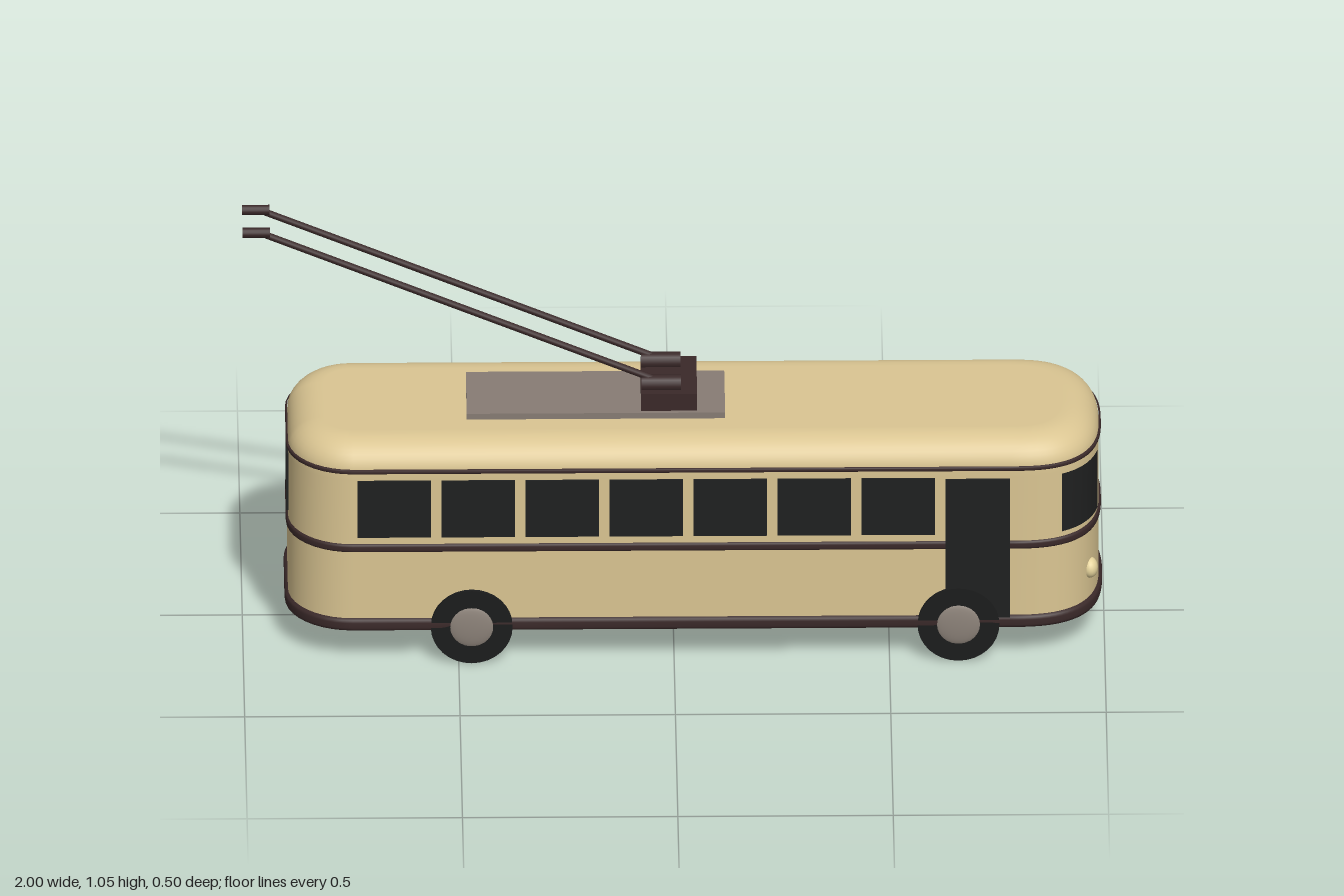
import * as THREE from 'three';

const mat = (name, color) => {
  const m = new THREE.MeshStandardMaterial({ color });
  m.name = name;
  return m;
};

// Plan of the body: blunt curved nose (+x), square rear with round corners (-x)
const HALF = 0.235, REAR = -0.895, REAR_R = 0.15, NOSE_X = 0.78, NOSE = 0.208, POW = 2.7;

function outline(inset) {
  const pts = [], a = NOSE - inset, b = HALF - inset, r = REAR_R - inset;
  for (let i = 0; i <= 40; i++) {
    const t = -Math.PI / 2 + (Math.PI * i) / 40;
    const c = Math.max(0, Math.cos(t)), s = Math.sin(t);
    pts.push([NOSE_X + a * c ** (2 / POW), Math.sign(s) * b * Math.abs(s) ** (2 / POW)]);
  }
  for (const side of [1, -1]) {
    for (let i = 0; i <= 10; i++) {
      const t = (side > 0 ? Math.PI / 2 : Math.PI) + (Math.PI / 2) * (i / 10);
      pts.push([REAR + REAR_R + r * Math.cos(t), side * (HALF - REAR_R) + r * Math.sin(t)]);
    }
  }
  return pts;
}

// Skin over rings given as [height, inset]
function loft(rings) {
  const pos = [], idx = [];
  let n = 0;
  for (const [y, inset] of rings) {
    const pts = outline(inset);
    n = pts.length;
    for (const [x, z] of pts) pos.push(x, y, z);
  }
  for (let i = 0; i < rings.length - 1; i++) {
    for (let j = 0; j < n; j++) {
      const a = i * n + j, b = i * n + ((j + 1) % n), c = a + n, d = b + n;
      idx.push(a, c, b, b, c, d);
    }
  }
  const g = new THREE.BufferGeometry();
  g.setAttribute('position', new THREE.Float32BufferAttribute(pos, 3));
  g.setIndex(idx);
  g.computeVertexNormals();
  return g;
}

// Flat lid with the body's plan, facing up or down
function lid(y, inset, up) {
  const shape = new THREE.Shape(outline(inset).map(([x, z]) => new THREE.Vector2(x, up ? -z : z)));
  const g = new THREE.ShapeGeometry(shape);
  return g.rotateX(up ? -Math.PI / 2 : Math.PI / 2).translate(0, y, 0);
}

// Window plate bent around the nose
function nosePanel(z0, z1, y0, y1) {
  const g = new THREE.PlaneGeometry(z1 - z0, y1 - y0, 12, 1);
  const p = g.attributes.position, out = 0.004;
  for (let i = 0; i < p.count; i++) {
    const z = (z0 + z1) / 2 - p.getX(i), y = (y0 + y1) / 2 + p.getY(i);
    const k = (Math.abs(z) / (HALF + out)) ** POW;
    p.setXYZ(i, NOSE_X + (NOSE + out) * (1 - k) ** (1 / POW), y, z);
  }
  g.computeVertexNormals();
  return g;
}

export function createModel() {
  const group = new THREE.Group();
  const cream = mat('cream paint', 0xdac592);
  const trim = mat('dark brown trim', 0x3a2929);
  const glass = mat('dark glass', 0x1f2020);
  const rubber = mat('tyre rubber', 0x1b1c1c);
  const metal = mat('hub metal', 0x8c8279);
  const plate = mat('roof plate grey', 0x877c74);
  const lamp = mat('lamp cream', 0xe6d49c);

  const add = (name, geo, material, x = 0, y = 0, z = 0) => {
    const m = new THREE.Mesh(geo, material);
    m.name = name;
    m.position.set(x, y, z);
    group.add(m);
    return m;
  };
  const box = (name, material, x0, x1, y0, y1, z0, z1) =>
    add(name, new THREE.BoxGeometry(x1 - x0, y1 - y0, z1 - z0), material,
      (x0 + x1) / 2, (y0 + y1) / 2, (z0 + z1) / 2);

  // Body walls running into the rounded roof edge
  const rings = [[0.09, 0], [0.48, 0]];
  for (let i = 0; i <= 10; i++) {
    const t = (Math.PI / 2) * (i / 10);
    rings.push([0.497 + 0.07 * Math.sin(t), 0.08 * (1 - Math.cos(t))]);
  }
  rings.push([0.567, 0.085]);
  add('body', loft(rings), cream);
  add('roofTop', lid(0.567, 0.085, true), cream);
  add('floor', lid(0.084, 0, false), trim);

  // Trim bands around the body
  for (const [name, y0, y1, out] of [
    ['skirtBand', 0.084, 0.116, 0.008], ['waistBand', 0.29, 0.311, 0.005], ['roofBand', 0.496, 0.507, 0.005],
  ]) {
    const h = y1 - y0;
    add(name, loft([[y0, 0], [y0 + h * 0.1, -out * 0.8], [y0 + h * 0.3, -out],
      [y1 - h * 0.3, -out], [y1 - h * 0.1, -out * 0.8], [y1, 0]]), trim);
  }

  // Side windows, door and end windows
  for (const side of [1, -1]) {
    for (let i = 0; i < 7; i++) {
      const x = -0.735 + i * 0.195;
      const z = side * 0.2355;
      box('sideWindow', glass, x, x + 0.17, 0.33, 0.478, z - 0.004, z + 0.004);
    }
  }
  box('door', glass, 0.63, 0.78, 0.105, 0.475, 0.233, 0.2415);
  box('rearWindow', glass, REAR - 0.004, REAR + 0.004, 0.33, 0.478, -0.1, 0.1);
  for (const [z0, z1] of [[-0.218, -0.102], [-0.039, 0.039], [0.102, 0.218]]) {
    add('frontWindow', nosePanel(z0, z1, 0.326, 0.478), glass);
  }

  // Headlights, wheels and hubs
  for (const side of [1, -1]) {
    add('headlight', new THREE.SphereGeometry(0.025, 20, 14), lamp, 0.966, 0.188, side * 0.137).scale.x = 0.75;
    for (const x of [-0.47, 0.66]) {
      add('wheel', new THREE.CylinderGeometry(0.095, 0.095, 0.078, 32).rotateX(Math.PI / 2),
        rubber, x, 0.095, side * 0.204);
      add('hub', new THREE.SphereGeometry(0.053, 24, 14), metal, x, 0.095, side * 0.24).scale.z = 0.18;
    }
  }

  // Roof plate and current collector
  box('roofPlate', plate, -0.48, 0.12, 0.562, 0.582, -0.103, 0.103);
  box('poleBase', trim, -0.075, 0.055, 0.58, 0.626, -0.093, 0.093);
  const dir = new THREE.Vector3(-0.93, 0.397, 0);
  for (const side of [1, -1]) {
    const z = side * 0.056;
    add('polePivot', new THREE.CylinderGeometry(0.02, 0.02, 0.092, 16).rotateZ(Math.PI / 2), trim, -0.028, 0.636, z);
    const pole = add('pole', new THREE.CylinderGeometry(0.008, 0.008, dir.length(), 12), trim, -0.495, 0.8385, z);
    pole.quaternion.setFromUnitVectors(new THREE.Vector3(0, 1, 0), dir.clone().normalize());
    add('poleHead', new THREE.CylinderGeometry(0.012, 0.012, 0.064, 14).rotateZ(Math.PI / 2), trim, -0.968, 1.037, z);
  }
  return group;
}
